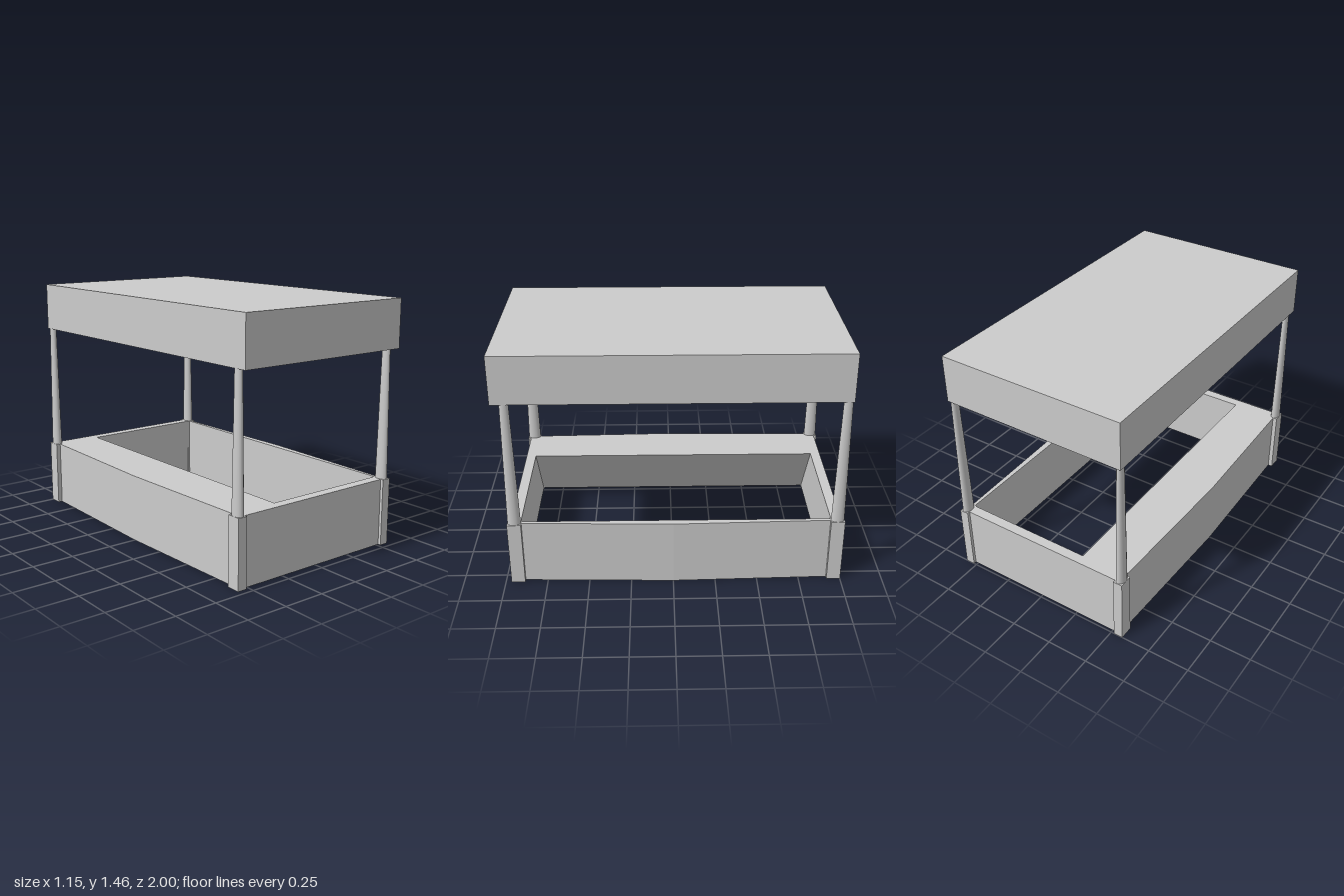
import * as THREE from 'three';

const material = new THREE.MeshStandardMaterial({ color: 0xcccccc, side: THREE.DoubleSide });
const BASE_TOP = 0.4, ROOF_BOTTOM = 1.17, ROOF_TOP = 1.455;

function add(parent, name, geometry, x = 0, y = 0, z = 0) {
  const mesh = new THREE.Mesh(geometry, material);
  mesh.name = name;
  mesh.position.set(x, y, z);
  parent.add(mesh);
  return mesh;
}

function extrude(points, depth) {
  const shape = new THREE.Shape(points.map(([x, y]) => new THREE.Vector2(x, y)));
  return new THREE.ExtrudeGeometry(shape, { depth, bevelEnabled: false });
}

// Side wall from its plan: straight inside, slightly bowed outside
function sideWall(side) {
  const plan = [[0.53, -0.95], [0.548, -0.95], [0.573, 0], [0.548, 0.92], [0.53, 0.92]];
  const geometry = extrude(plan.map(([x, z]) => [side * x, -z]), BASE_TOP);
  return geometry.rotateX(-Math.PI / 2);
}

export function createModel() {
  const model = new THREE.Group();
  model.name = 'canopyStall';

  // Roof box
  add(model, 'canopy', new THREE.BoxGeometry(1.135, ROOF_TOP - ROOF_BOTTOM, 1.99),
    0, (ROOF_TOP + ROOF_BOTTOM) / 2, 0.005);

  // Low walls around the base
  add(model, 'leftWall', sideWall(1));
  add(model, 'rightWall', sideWall(-1));
  add(model, 'frontWall', new THREE.BoxGeometry(1.08, BASE_TOP, 0.06), 0, BASE_TOP / 2, 0.918);
  add(model, 'backWall', new THREE.BoxGeometry(1.08, BASE_TOP, 0.06), 0, BASE_TOP / 2, -0.953);

  // Counter along the right wall, its underside sloping down to the floor
  add(model, 'counter',
    extrude([[-0.54, 0], [-0.53, 0], [-0.262, BASE_TOP], [-0.54, BASE_TOP]], 1.83), 0, 0, -0.93);

  // Corner posts: square foot and tapered oval column
  for (const x of [-0.547, 0.545]) {
    for (const z of [0.925, -0.96]) {
      const post = new THREE.Group();
      post.name = 'post';
      post.position.set(x, 0, z);
      model.add(post);
      add(post, 'postFoot', new THREE.BoxGeometry(0.056, BASE_TOP, 0.082), 0, BASE_TOP / 2, 0);
      const height = ROOF_BOTTOM - BASE_TOP;
      const column = new THREE.CylinderGeometry(0.018, 0.027, height, 16).scale(1, 1, 1.45);
      add(post, 'postColumn', column, 0, BASE_TOP + height / 2, 0);
    }
  }
  return model;
}
